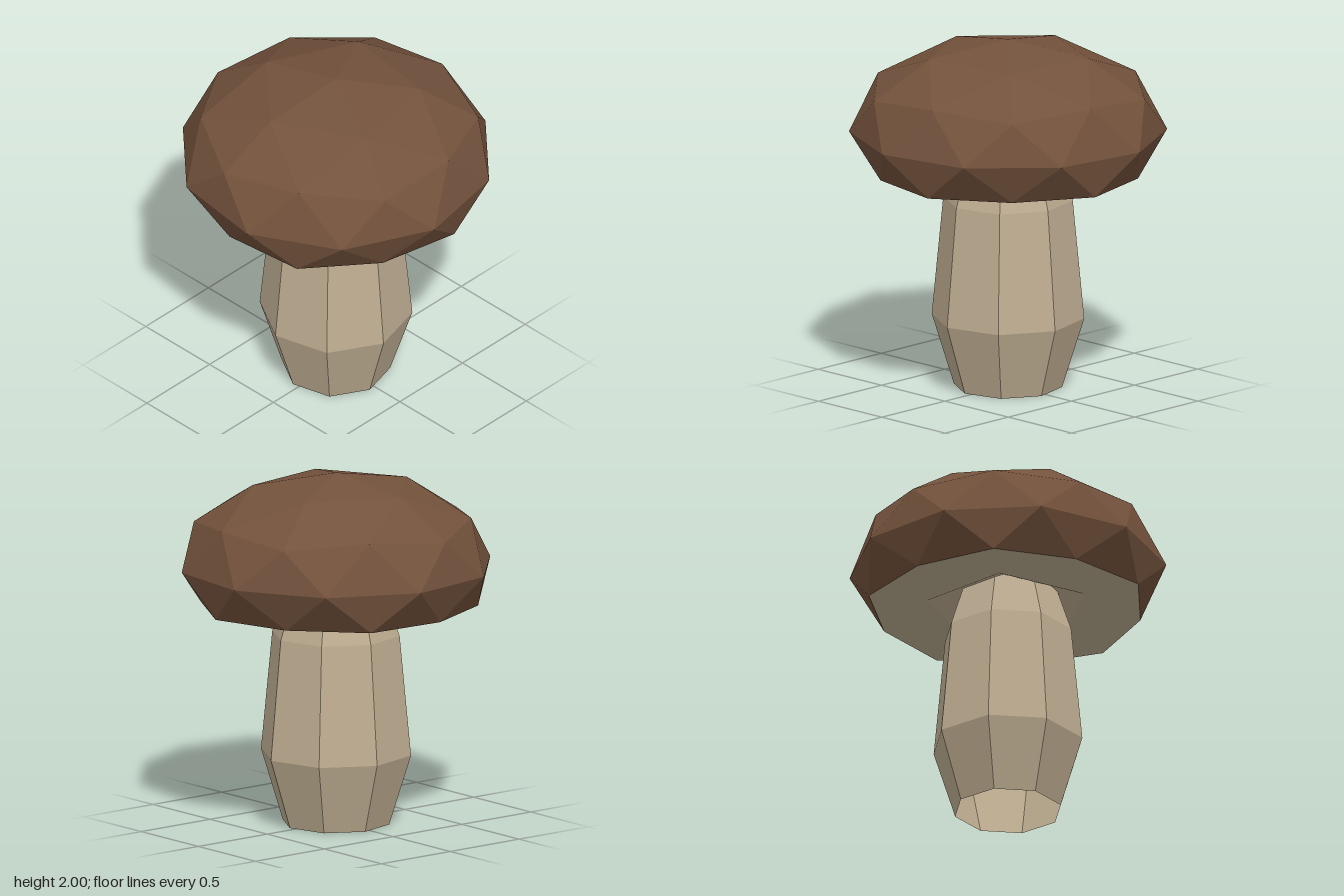
import * as THREE from 'three';

const TWIST = THREE.MathUtils.degToRad(-7.4);
const RADIUS = 0.89, EQUATOR = 1.475, DOME = 0.525, RIM = 1.25, HOLLOW = 1.45;

function material(color) {
  return new THREE.MeshStandardMaterial({ color, flatShading: true, side: THREE.DoubleSide });
}

function part(name, geometry, mat) {
  const mesh = new THREE.Mesh(geometry, mat);
  mesh.name = name;
  return mesh;
}

// Squashed icosphere standing on a vertex, flattened at the rim and hollowed
// at the bottom pole; its triangles are split into dome and underside.
function capGeometries() {
  const ball = new THREE.IcosahedronGeometry(1, 1);
  ball.rotateX(-Math.atan((1 + Math.sqrt(5)) / 2));
  ball.rotateY(TWIST);
  const p = ball.attributes.position;
  const dome = [], underside = [];
  for (let i = 0; i < p.count; i += 3) {
    const corners = [i, i + 1, i + 2];
    const below = corners.every((k) => p.getY(k) < -0.4);
    for (const k of corners) {
      const h = p.getY(k);
      let y = EQUATOR + h * DOME;
      if (h < -0.4) y = h < -0.95 ? HOLLOW : RIM;
      (below ? underside : dome).push(p.getX(k) * RADIUS, y, p.getZ(k) * RADIUS);
    }
  }
  return [dome, underside].map((list) => {
    const g = new THREE.BufferGeometry();
    g.setAttribute('position', new THREE.Float32BufferAttribute(list, 3));
    g.computeVertexNormals();
    return g;
  });
}

export function createModel() {
  const group = new THREE.Group();
  group.name = 'mushroom';
  const brown = material(0x73523c);
  const cream = material(0xbfae92);

  // Eight-sided stem, open at the foot, its top hidden in the hollow
  const profile = [[0.305, 0], [0.43, 0.4], [0.365, 1.08], [0.26, 1.4]]
    .map(([r, y]) => new THREE.Vector2(r, y));
  group.add(part('stem', new THREE.LatheGeometry(profile, 8, TWIST), cream));

  // Cap and its pale underside
  const [dome, underside] = capGeometries();
  group.add(part('cap', dome, brown));
  group.add(part('capUnderside', underside, cream));
  return group;
}
